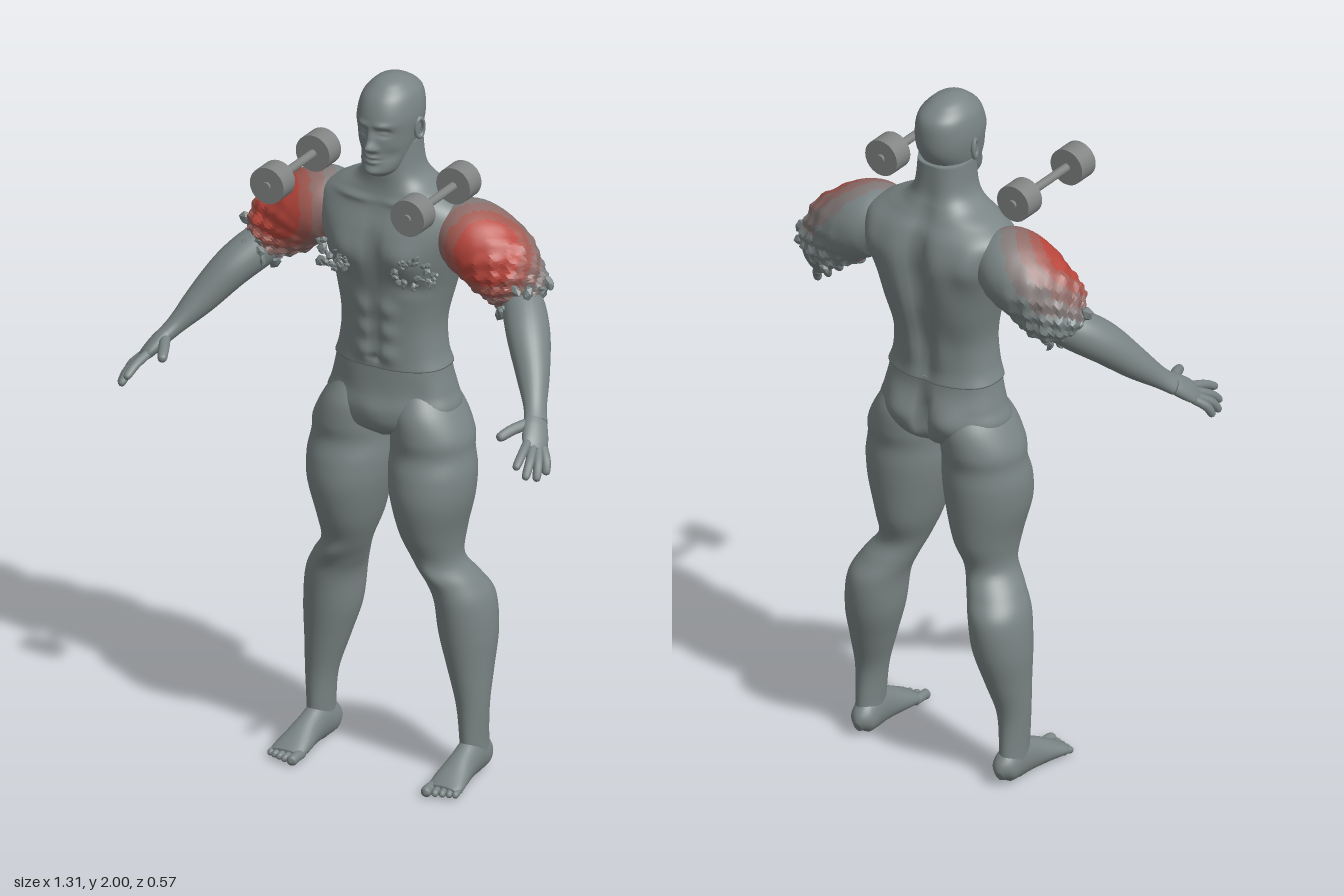
import * as THREE from 'three';
import { toCreasedNormals, mergeGeometries } from 'three/addons/utils/BufferGeometryUtils.js';

const material = (name, color) => Object.assign(new THREE.MeshStandardMaterial({ color }), { name });
const skin = material('grey skin', 0x7a8484);
const reds = [
  material('strong red', 0xb8463c), material('medium red', 0xa35a52),
  material('soft red', 0x906c68), material('faint red', 0x837a79), skin,
];
const metal = material('dumbbell grey', 0x808382);

// Catmull-Rom through rows of numbers
function sample(keys, f) {
  const n = keys.length - 1, i = Math.min(Math.floor(f * n), n - 1), t = f * n - i;
  const [p, q, r, s] = [keys[Math.max(i - 1, 0)], keys[i], keys[i + 1], keys[Math.min(i + 2, n)]];
  return q.map((v, k) => v + 0.5 * t * (r[k] - p[k] + t * (2 * p[k] - 5 * v + 4 * r[k] - s[k]
    + t * (3 * (v - r[k]) + s[k] - p[k]))));
}

// Skin over rings [x, y, z, radiusU, radiusV]; without ref the rings lie level and rise in y
function loft(keys, { seg = 24, steps = 24, ref = null, power = 2, deform = null } = {}) {
  const pos = [], index = [], p = new THREE.Vector3();
  const centre = f => new THREE.Vector3(...sample(keys, f));
  const round = v => Math.sign(v) * Math.abs(v) ** (2 / power);
  for (let i = 0; i <= steps; i++) {
    const f = i / steps, k = sample(keys, f), c = centre(f);
    const t = ref ? centre(Math.min(f + 0.01, 1)).sub(centre(Math.max(f - 0.01, 0))).normalize() : new THREE.Vector3(0, 1, 0);
    const u = ref ? new THREE.Vector3(...ref) : new THREE.Vector3(1, 0, 0);
    u.addScaledVector(t, -u.dot(t)).normalize();
    const v = t.clone().cross(u);
    for (let j = 0; j < seg; j++) {
      const a = j / seg * Math.PI * 2;
      p.copy(c).addScaledVector(u, round(Math.cos(a)) * Math.max(k[3], 0.001))
        .addScaledVector(v, round(Math.sin(a)) * Math.max(k[4], 0.001));
      if (deform) deform(p, c, f, a);
      pos.push(p.x, p.y, p.z);
    }
  }
  const first = (steps + 1) * seg;
  pos.push(...keys[0].slice(0, 3), ...keys.at(-1).slice(0, 3));
  for (let j = 0; j < seg; j++) {
    const n = (j + 1) % seg;
    for (let i = 0; i < steps; i++) {
      const a = i * seg, b = a + seg;
      index.push(a + j, a + n, b + j, a + n, b + n, b + j);
    }
    index.push(first, n, j, first + 1, steps * seg + j, steps * seg + n);
  }
  const g = new THREE.BufferGeometry();
  g.setAttribute('position', new THREE.Float32BufferAttribute(pos, 3));
  g.setIndex(index);
  g.computeVertexNormals();
  return g;
}

function mirrored(g) {
  const m = g.clone().scale(-1, 1, 1), a = m.index.array;
  for (let i = 0; i < a.length; i += 3) [a[i], a[i + 1]] = [a[i + 1], a[i]];
  return m;
}

// Soft surface relief; each bump is [x, y, widthX, widthY, depth], the same on both sides
const relief = (p, bumps) => bumps.reduce((sum, [x, y, w, h, d]) =>
  sum + d * Math.exp(-(((Math.abs(p.x) - x) / w) ** 2) - ((p.y - y) / h) ** 2), 0);
const sculpt = (front, back) => (p, c) => {
  const dz = p.z - c.z;
  const w = Math.min(1, Math.abs(dz) / 0.05);
  p.z += dz > 0 ? relief(p, front) * w : -relief(p, back) * w;
};

// Bucket triangles by distance from the red centre, then crease the edges
function paintRed(g, side) {
  const P = g.attributes.position, idx = g.index.array, buckets = reds.map(() => []);
  const hot = new THREE.Vector3(0.32 * side, 1.56, -0.06), v = new THREE.Vector3();
  for (let i = 0; i < idx.length; i += 3) {
    const c = new THREE.Vector3();
    for (let k = 0; k < 3; k++) c.addScaledVector(v.fromBufferAttribute(P, idx[i + k]), 1 / 3);
    const level = [0.09, 0.12, 0.15, 0.18].findIndex(r => c.distanceTo(hot) < r);
    buckets[level < 0 ? 4 : level].push(idx[i], idx[i + 1], idx[i + 2]);
  }
  g.setIndex(buckets.flat());
  let start = 0;
  buckets.forEach((b, k) => { g.addGroup(start, b.length, k); start += b.length; });
  return toCreasedNormals(g, 0.5);
}

export function createModel() {
  const model = new THREE.Group();
  model.name = 'muscularFigure';
  const add = (name, g, m = skin) => {
    const mesh = new THREE.Mesh(g, m);
    mesh.name = name;
    model.add(mesh);
  };
  const pair = (name, g, m = skin) => { add(name + 'Left', g, m); add(name + 'Right', mirrored(g), m); };
  let seed = 7;
  const rnd = () => (seed = (seed * 16807) % 2147483647) / 2147483647;

  // Torso and neck, with chest, stomach and spine relief
  const abs = [1.22, 1.285, 1.35].map(y => [0.036, y, 0.026, 0.026, 0.012]);
  add('torso', loft([
    [0, 1.175, -0.118, 0.166, 0.107], [0, 1.22, -0.116, 0.152, 0.103], [0, 1.3, -0.12, 0.146, 0.108],
    [0, 1.4, -0.13, 0.166, 0.126], [0, 1.5, -0.13, 0.195, 0.14], [0, 1.57, -0.133, 0.217, 0.14],
    [0, 1.63, -0.137, 0.218, 0.12], [0, 1.67, -0.13, 0.165, 0.1], [0, 1.7, -0.125, 0.108, 0.09],
    [0, 1.74, -0.118, 0.08, 0.083], [0, 1.82, -0.115, 0.072, 0.078],
  ], {
    seg: 72, steps: 80, power: 2.4, deform: sculpt(
      [...abs, [0.09, 1.51, 0.06, 0.05, 0.02], [0, 1.53, 0.014, 0.08, -0.012], [0, 1.28, 0.01, 0.1, -0.006],
        [0, 1.2, 0.008, 0.008, -0.01], [0.08, 1.655, 0.06, 0.01, 0.008], [0.11, 1.42, 0.04, 0.02, -0.008]],
      [[0, 1.5, 0.028, 0.16, -0.035], [0, 1.28, 0.02, 0.1, -0.015], [0.085, 1.53, 0.05, 0.12, 0.014],
        [0.16, 1.57, 0.04, 0.07, 0.02], [0.05, 1.27, 0.03, 0.08, 0.008]]),
  }));

  // Hips
  add('hips', loft([
    [0, 0.965, -0.11, 0.03, 0.06], [0, 1.0, -0.115, 0.14, 0.11], [0, 1.05, -0.118, 0.19, 0.12],
    [0, 1.1, -0.12, 0.179, 0.113], [0, 1.15, -0.118, 0.167, 0.105], [0, 1.187, -0.118, 0.161, 0.101],
  ], {
    seg: 64, steps: 32, power: 2.3, deform: sculpt(
      [[0.11, 1.1, 0.04, 0.05, -0.006], [0, 1.05, 0.04, 0.04, 0.008]],
      [[0.08, 1.07, 0.05, 0.05, 0.02], [0, 1.06, 0.016, 0.07, -0.04]]),
  }));

  // Head and face
  add('head', loft([
    [0, 1.735, -0.05, 0.03, 0.04], [0, 1.755, -0.06, 0.05, 0.07], [0, 1.8, -0.08, 0.066, 0.09],
    [0, 1.85, -0.097, 0.077, 0.107], [0, 1.9, -0.1, 0.082, 0.112], [0, 1.95, -0.105, 0.073, 0.099],
    [0, 1.98, -0.103, 0.05, 0.066], [0, 1.994, -0.1, 0.028, 0.036], [0, 2.0, -0.1, 0.002, 0.002],
  ], {
    seg: 80, steps: 96, power: 2.15, deform: sculpt(
      [[0, 1.828, 0.012, 0.013, 0.024], [0, 1.85, 0.009, 0.025, 0.014], [0.014, 1.822, 0.007, 0.007, 0.008],
        [0.033, 1.868, 0.017, 0.011, -0.014], [0.033, 1.866, 0.011, 0.005, 0.008], [0.03, 1.89, 0.022, 0.008, 0.006],
        [0, 1.798, 0.02, 0.005, 0.009], [0, 1.784, 0.018, 0.005, 0.009], [0, 1.791, 0.024, 0.002, -0.004],
        [0, 1.755, 0.025, 0.014, 0.01], [0.048, 1.8, 0.02, 0.02, -0.008]], []),
  }));

  // Ears
  const earShell = new THREE.TorusGeometry(0.02, 0.006, 8, 24).scale(0.75, 1.3, 1).rotateY(Math.PI / 2 - 0.3);
  const earInner = new THREE.SphereGeometry(0.017, 16, 12).scale(0.3, 1.4, 0.8);
  pair('earRim', earShell.translate(0.084, 1.858, -0.105));
  pair('earInner', earInner.translate(0.079, 1.856, -0.103));

  // Legs
  pair('leg', loft([
    [0.235, 0.05, -0.14, 0.034, 0.055], [0.235, 0.1, -0.135, 0.034, 0.054], [0.232, 0.2, -0.133, 0.043, 0.053],
    [0.22, 0.3, -0.143, 0.06, 0.072], [0.208, 0.4, -0.152, 0.077, 0.092], [0.197, 0.5, -0.15, 0.078, 0.1],
    [0.172, 0.56, -0.132, 0.074, 0.088], [0.14, 0.62, -0.11, 0.067, 0.081], [0.127, 0.7, -0.105, 0.085, 0.112],
    [0.127, 0.8, -0.1, 0.11, 0.13], [0.125, 0.875, -0.105, 0.118, 0.129], [0.121, 0.935, -0.112, 0.113, 0.119],
    [0.118, 0.985, -0.115, 0.111, 0.124], [0.105, 1.05, -0.118, 0.092, 0.118], [0.095, 1.11, -0.12, 0.06, 0.085],
  ], {
    seg: 40, steps: 80, deform: (p, c) => {
      // Kneecap and shin
      const dx = (p.x - c.x) / 0.035;
      if (p.z > c.z) p.z += 0.014 * Math.exp(-dx * dx - ((p.y - 0.59) / 0.035) ** 2);
      p.x = Math.max(p.x, 0.001);
    },
  }));

  // Feet and toes
  const floor = p => { p.y = Math.max(p.y, 0); };
  pair('foot', loft([
    [0.232, 0.03, -0.203, 0.01, 0.016], [0.232, 0.042, -0.18, 0.034, 0.042], [0.234, 0.055, -0.13, 0.036, 0.058],
    [0.237, 0.045, -0.07, 0.038, 0.047], [0.239, 0.03, -0.01, 0.047, 0.032], [0.242, 0.02, 0.03, 0.05, 0.021],
    [0.242, 0.017, 0.05, 0.044, 0.013],
  ], { seg: 28, steps: 30, ref: [1, 0, 0], deform: floor }));
  [0.205, 0.229, 0.248, 0.266, 0.282].forEach((x, i) => {
    const r = i ? 0.0095 : 0.014, tip = 0.086 - 0.006 * i;
    pair('toe' + (i + 1), loft([[x, 0.017, 0.025, r, r], [x, 0.017, tip - 0.025, r, r],
      [x + 0.002, 0.013, tip - 0.008, r, r], [x + 0.002, 0.011, tip, 0.002, 0.002]],
    { seg: 12, steps: 12, ref: [1, 0, 0], deform: floor }));
  });

  // Shoulders: swollen, crumpled towards the elbow, tinted red
  const shoulder = loft([
    [0.15, 1.57, -0.135, 0.08, 0.075], [0.215, 1.565, -0.135, 0.11, 0.1], [0.28, 1.535, -0.135, 0.115, 0.103],
    [0.34, 1.487, -0.13, 0.103, 0.097], [0.385, 1.442, -0.122, 0.083, 0.08], [0.412, 1.412, -0.11, 0.045, 0.045],
  ], {
    seg: 44, steps: 36, ref: [0, 0, 1], deform: (p, c, f, a) => {
      const w = Math.max(0, f - 0.3) * 0.2;
      const n = Math.sin(a * 5 + f * 11) * Math.sin(f * 27 + a * 3) + 0.6 * Math.sin(a * 11 - f * 35);
      p.sub(c).multiplyScalar(1 + w * n).add(c);
    },
  });
  add('shoulderLeft', paintRed(shoulder.clone(), 1), reds);
  add('shoulderRight', paintRed(mirrored(shoulder), -1), reds);

  // Ragged lumps on the chest and around the upper arm cuff
  const shard = (x, y, z, r) => new THREE.IcosahedronGeometry(r, 0)
    .scale(0.5 + rnd(), 0.3 + rnd() * 0.7, 0.6).rotateZ(rnd() * 6).rotateX(rnd() - 0.5).translate(x, y, z);
  for (const s of [1, -1]) {
    const chest = [], cuff = [];
    for (let i = 0; i < 30; i++) {
      const a = rnd() * Math.PI * 2, d = Math.sqrt(rnd()), x = 0.128 + 0.062 * d * Math.cos(a);
      chest.push(shard(s * x, 1.483 + 0.045 * d * Math.sin(a), 0.016 - Math.max(0, x - 0.1) * 0.35, 0.008 + rnd() * 0.008));
    }
    for (let i = 0; i < 22; i++) {
      const a = i / 22 * Math.PI * 2, r = 0.066 + rnd() * 0.014, o = (rnd() - 0.5) * 0.05;
      cuff.push(shard(s * (0.385 + o + r * Math.sin(a) * 0.64), 1.437 - o + r * Math.sin(a) * 0.77, -0.12 + r * Math.cos(a), 0.012 + rnd() * 0.012));
    }
    const side = s > 0 ? 'Left' : 'Right';
    add('chestLumps' + side, mergeGeometries(chest));
    add('cuffLumps' + side, mergeGeometries(cuff));
  }

  // Forearms and palms
  const across = [-0.55, 0.35, 0.6];
  pair('forearm', loft([
    [0.37, 1.435, -0.135, 0.052, 0.052], [0.415, 1.4, -0.09, 0.06, 0.058], [0.46, 1.352, -0.035, 0.06, 0.054],
    [0.51, 1.28, 0.03, 0.046, 0.043], [0.55, 1.222, 0.088, 0.033, 0.027], [0.572, 1.193, 0.122, 0.034, 0.022],
  ], { seg: 28, steps: 36, ref: across }));
  pair('palm', loft([
    [0.56, 1.208, 0.104, 0.028, 0.021], [0.578, 1.185, 0.135, 0.036, 0.022], [0.596, 1.158, 0.168, 0.038, 0.018],
    [0.605, 1.144, 0.186, 0.03, 0.011],
  ], { seg: 24, steps: 18, ref: across }));

  // Fingers: base, middle joint, tip
  const fingers = {
    thumb: [[0.565, 1.195, 0.128], [0.538, 1.188, 0.182], [0.516, 1.174, 0.232]],
    indexFinger: [[0.584, 1.164, 0.183], [0.594, 1.147, 0.235], [0.6, 1.122, 0.282]],
    middleFinger: [[0.597, 1.153, 0.18], [0.615, 1.127, 0.23], [0.623, 1.092, 0.27]],
    ringFinger: [[0.607, 1.146, 0.17], [0.63, 1.117, 0.212], [0.641, 1.08, 0.24]],
    littleFinger: [[0.615, 1.143, 0.157], [0.638, 1.118, 0.182], [0.648, 1.085, 0.2]],
  };
  for (const [name, [a, b, c]] of Object.entries(fingers)) {
    const r = name === 'thumb' ? 0.015 : 0.0125, near = c.map((v, i) => v * 0.82 + b[i] * 0.18);
    pair(name, loft([[...a, r, r], [...b, r, r], [...near, r * 0.85, r * 0.85], [...c, 0.002, 0.002]],
      { seg: 12, steps: 18, ref: across }));
  }

  // Dumbbells floating beside the head
  for (const s of [1, -1]) {
    const dumbbell = new THREE.Group();
    dumbbell.name = s > 0 ? 'dumbbellLeft' : 'dumbbellRight';
    for (const [name, r, length, z] of [['bar', 0.012, 0.324, 0.038], ['frontWeight', 0.052, 0.062, 0.161], ['backWeight', 0.052, 0.062, -0.085]]) {
      const mesh = new THREE.Mesh(new THREE.CylinderGeometry(r, r, length, 32).rotateX(Math.PI / 2), metal);
      mesh.name = name;
      mesh.position.set(0.216 * s, 1.735, z);
      dumbbell.add(mesh);
    }
    model.add(dumbbell);
  }
  return model;
}
